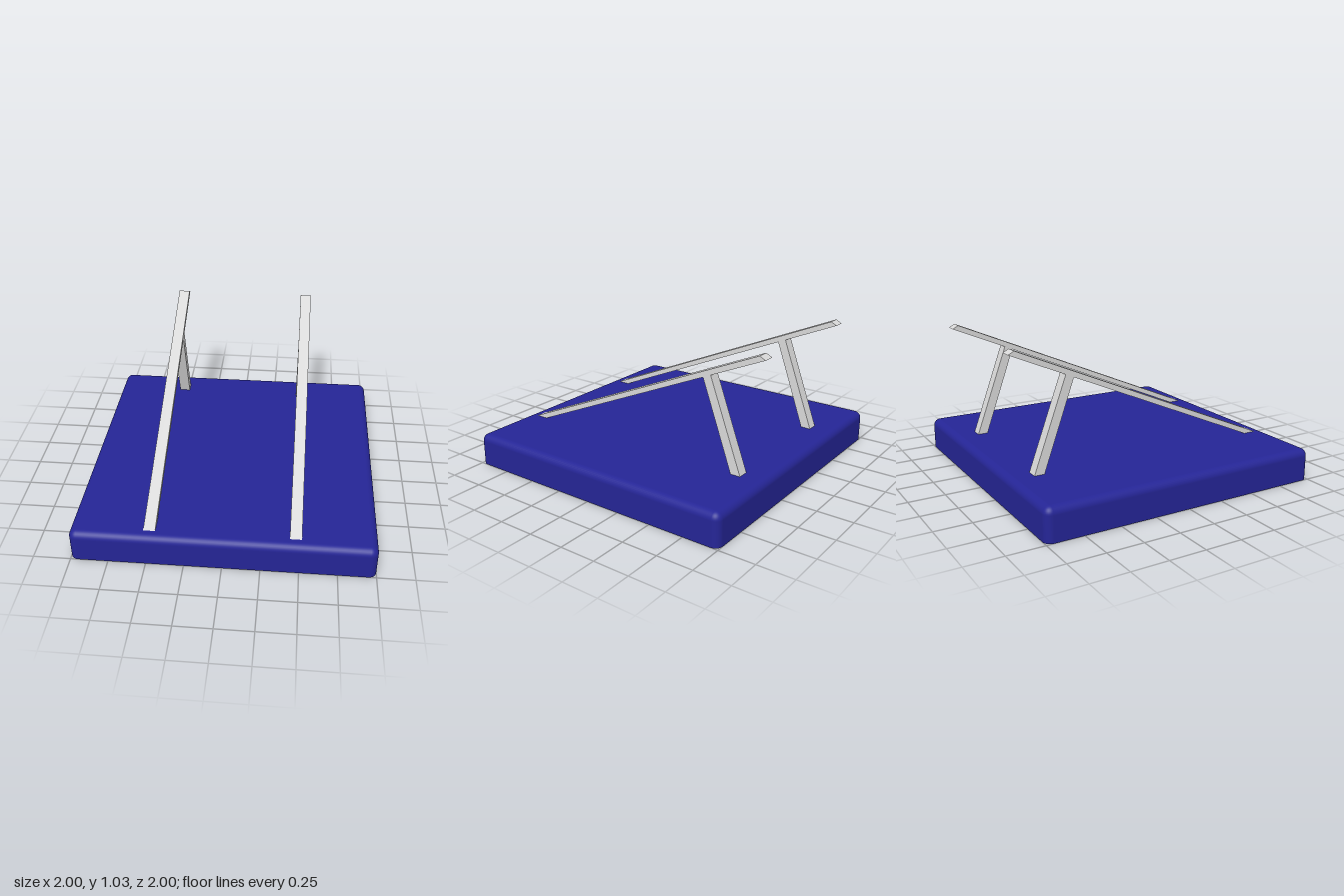
import * as THREE from 'three';

const TOP = 0.222; // height of the base
const R = 0.05; // rounding of its corners and upper edge

// Thin open-bottomed tray: rounded-rectangle loops climbing over a rounded rim
function trayGeometry(cornerSteps = 8, rimSteps = 8) {
  const pos = [], nor = [], idx = [];
  const c = 1 - R;
  const loop = (y, b) => {
    for (let q = 0; q < 4; q++) {
      const sx = q === 0 || q === 3 ? 1 : -1, sz = q < 2 ? 1 : -1;
      for (let k = 0; k <= cornerSteps; k++) {
        const a = (q + k / cornerSteps) * Math.PI / 2;
        const nx = Math.cos(b) * Math.cos(a), nz = Math.cos(b) * Math.sin(a);
        pos.push(sx * c + R * nx, y, sz * c + R * nz);
        nor.push(nx, Math.sin(b), nz);
      }
    }
  };
  loop(0, 0);
  for (let i = 0; i <= rimSteps; i++) {
    const b = i / rimSteps * Math.PI / 2;
    loop(TOP - R + R * Math.sin(b), b);
  }
  const n = 4 * (cornerSteps + 1), last = (rimSteps + 1) * n;
  for (let i = 0; i <= rimSteps; i++) {
    for (let j = 0; j < n; j++) {
      const a = i * n + j, b = i * n + (j + 1) % n;
      idx.push(a, a + n, b, b, a + n, b + n);
    }
  }
  // flat top
  const centre = pos.length / 3;
  pos.push(0, TOP, 0);
  nor.push(0, 1, 0);
  for (let j = 0; j < n; j++) idx.push(centre, last + (j + 1) % n, last + j);

  const g = new THREE.BufferGeometry();
  g.setAttribute('position', new THREE.Float32BufferAttribute(pos, 3));
  g.setAttribute('normal', new THREE.Float32BufferAttribute(nor, 3));
  g.setIndex(idx);
  return g;
}

// Bar from a side profile of [z, y] points, centred on x = 0
function barGeometry(points, width) {
  const shape = new THREE.Shape(points.map(([z, y]) => new THREE.Vector2(z, y)));
  return new THREE.ExtrudeGeometry(shape, { depth: width, bevelEnabled: false })
    .translate(0, 0, -width / 2)
    .rotateY(-Math.PI / 2);
}

export function createModel() {
  const model = new THREE.Group();
  model.name = 'baseWithSlopedRails';

  const blue = new THREE.MeshStandardMaterial({ color: 0x252596, side: THREE.DoubleSide });
  blue.name = 'deepBlue';
  const grey = new THREE.MeshStandardMaterial({ color: 0xd9d9d9 });
  grey.name = 'lightGrey';

  const add = (parent, name, geometry, material) => {
    const mesh = new THREE.Mesh(geometry, material);
    mesh.name = name;
    parent.add(mesh);
  };

  add(model, 'base', trayGeometry(), blue);

  // sloped rail whose foot pokes through the base, and the leg propping it up
  const rail = barGeometry([[0.965, 0.205], [-0.95, 1.03], [-0.99, 1.008], [0.925, 0.183]], 0.078);
  const leg = barGeometry([[-0.77, 0.223], [-0.55, 0.835], [-0.605, 0.862], [-0.84, 0.223]], 0.077);

  for (const [side, x] of [['left', 0.473], ['right', -0.476]]) {
    const support = new THREE.Group();
    support.name = side + 'Support';
    support.position.x = x;
    add(support, side + 'Rail', rail, grey);
    add(support, side + 'Leg', leg, grey);
    model.add(support);
  }
  return model;
}
